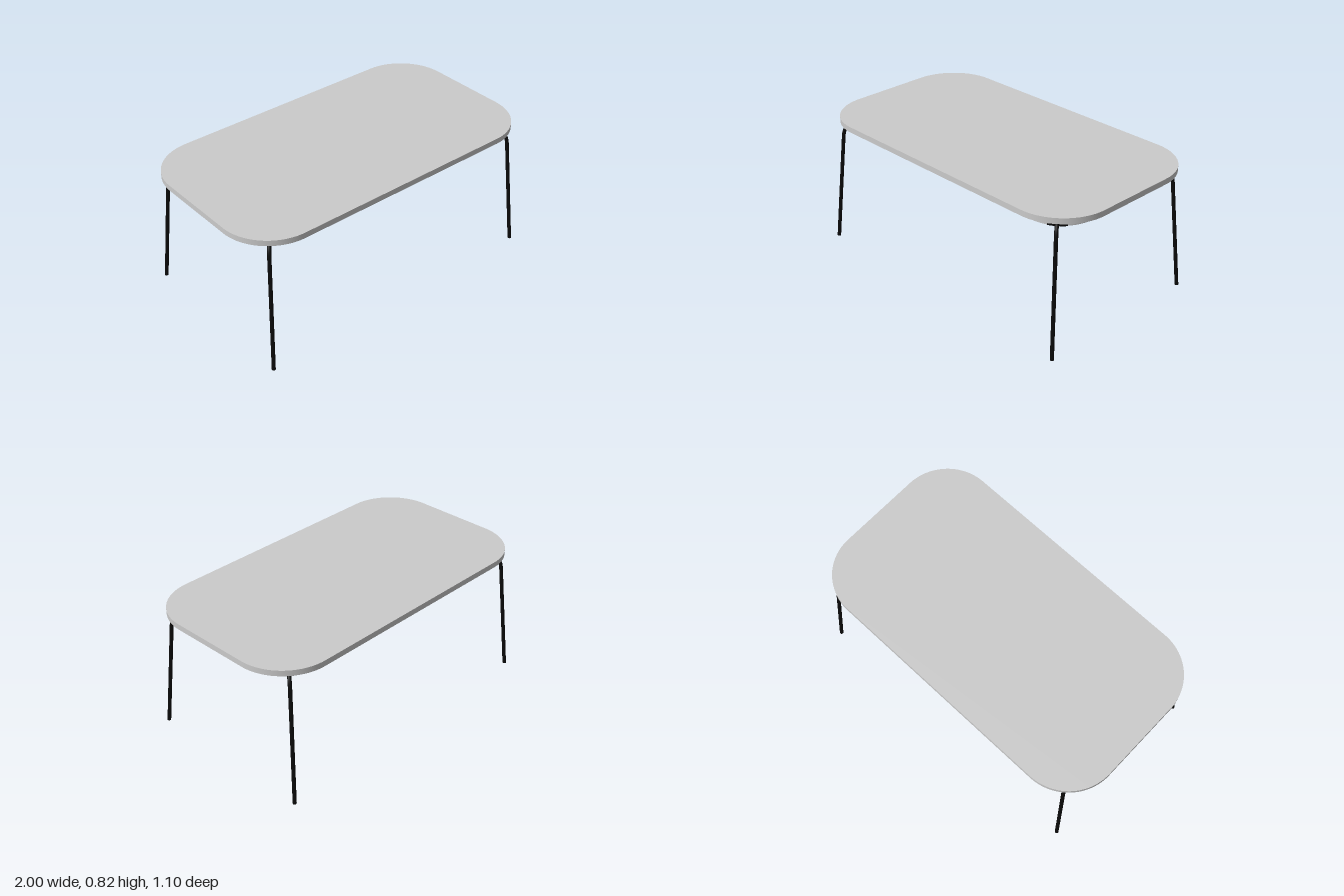
import * as THREE from 'three';
import { toCreasedNormals } from 'three/addons/utils/BufferGeometryUtils.js';

// All rounded outlines share these corner centres
const CX = 0.7, CZ = 0.25;
const TOP_R = 0.3, APRON_R = 0.22, APRON_T = 0.03;
const APRON_Y = 0.736, TOP_Y = 0.79, TOP_H = 0.034;

const grey = new THREE.MeshStandardMaterial({ color: 0xcccccc });
const black = new THREE.MeshStandardMaterial({ color: 0x0a0a0a });

// Rounded rectangle reaching r beyond the corner centres
function outline(PathType, r) {
  const p = new PathType();
  p.absarc(CX, CZ, r, 0, Math.PI / 2);
  p.absarc(-CX, CZ, r, Math.PI / 2, Math.PI);
  p.absarc(-CX, -CZ, r, Math.PI, Math.PI * 1.5);
  p.absarc(CX, -CZ, r, Math.PI * 1.5, Math.PI * 2);
  p.closePath();
  return p;
}

// Flat slab standing on height y
function slab(name, shape, y, height, material) {
  const raw = new THREE.ExtrudeGeometry(shape, { depth: height, bevelEnabled: false, curveSegments: 20 });
  const mesh = new THREE.Mesh(toCreasedNormals(raw.rotateX(-Math.PI / 2), 0.6), material);
  mesh.position.y = y;
  mesh.name = name;
  return mesh;
}

// Leg with its mounting block, pointing outward along +x from the corner centre
function createLeg() {
  const leg = new THREE.Group();

  const half = THREE.MathUtils.degToRad(14);
  const block = new THREE.Shape();
  block.absarc(0, 0, APRON_R + 0.003, -half, half);
  block.absarc(0, 0, APRON_R - APRON_T - 0.003, half, -half, true);
  block.closePath();
  leg.add(slab('mountingBlock', block, APRON_Y - 0.001, TOP_Y - APRON_Y + 0.001, black));

  // Bent rod: out of the block, around the bend, down to the floor
  const v = (s, y) => new THREE.Vector3(s, y, 0);
  const path = new THREE.CurvePath();
  path.add(new THREE.LineCurve3(v(0.2, 0.764), v(0.228, 0.764)));
  path.add(new THREE.QuadraticBezierCurve3(v(0.228, 0.764), v(0.28, 0.762), v(0.288, 0.68)));
  path.add(new THREE.LineCurve3(v(0.288, 0.68), v(0.36, 0.001)));
  const rod = new THREE.Mesh(new THREE.TubeGeometry(path, 80, 0.011, 12), black);
  rod.name = 'legRod';
  leg.add(rod);

  // Closed end of the rod
  const foot = new THREE.Mesh(new THREE.CylinderGeometry(0.011, 0.011, 0.004, 12), black);
  foot.position.set(0.36, 0.002, 0);
  foot.name = 'foot';
  leg.add(foot);
  return leg;
}

export function createModel() {
  const table = new THREE.Group();
  table.name = 'table';

  table.add(slab('tabletop', outline(THREE.Shape, TOP_R), TOP_Y, TOP_H, grey));

  // Hollow frame under the top
  const apron = outline(THREE.Shape, APRON_R);
  apron.holes.push(outline(THREE.Path, APRON_R - APRON_T));
  table.add(slab('apron', apron, APRON_Y, TOP_Y - APRON_Y, grey));

  // One splayed leg at each corner
  const splay = THREE.MathUtils.degToRad(51.5);
  for (const sx of [1, -1]) {
    for (const sz of [1, -1]) {
      const leg = createLeg();
      leg.position.set(sx * CX, 0, sz * CZ);
      leg.rotation.y = -Math.atan2(sz * Math.sin(splay), sx * Math.cos(splay));
      leg.name = (sz > 0 ? 'front' : 'back') + (sx > 0 ? 'Left' : 'Right') + 'Leg';
      table.add(leg);
    }
  }
  return table;
}
